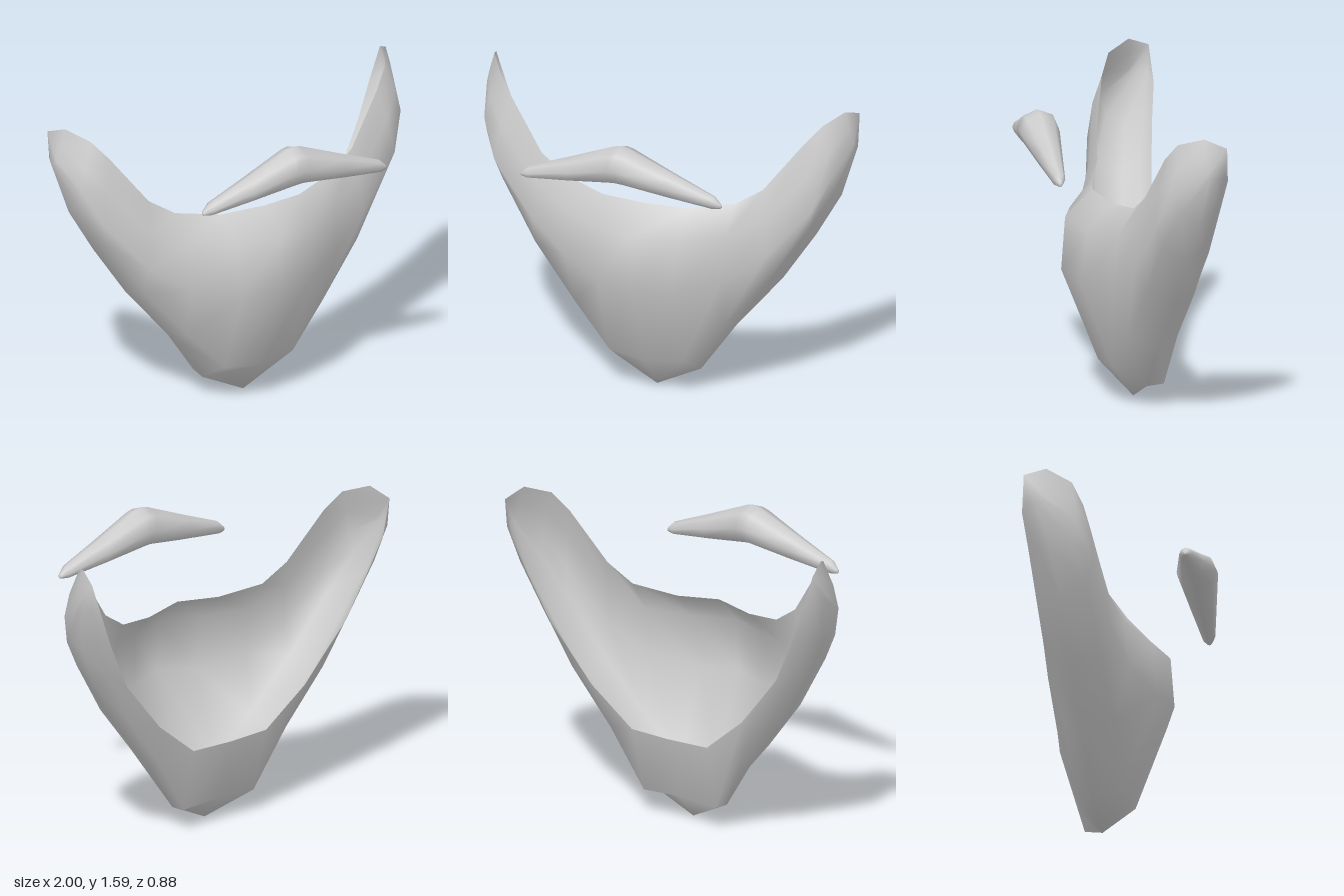
import * as THREE from 'three';
import { mergeVertices } from 'three/addons/utils/BufferGeometryUtils.js';

// Skin a list of cross-sections (each a list of [x, y, z]) with smooth normals.
function loft(sections, closed) {
  const n = sections[0].length;
  const index = [];
  for (let i = 0; i < sections.length - 1; i++) {
    for (let j = 0; j < (closed ? n : n - 1); j++) {
      const k = (j + 1) % n;
      const a = i * n + j, b = i * n + k, c = (i + 1) * n + j, d = (i + 1) * n + k;
      index.push(a, b, c, b, d, c);
    }
  }
  const geometry = new THREE.BufferGeometry();
  geometry.setAttribute('position', new THREE.Float32BufferAttribute(sections.flat(2), 3));
  geometry.setIndex(index);
  const merged = mergeVertices(geometry);
  merged.computeVertexNormals();
  return merged;
}

// Repeat half-sections (x >= 0, first one on the centre) on the other side.
function mirror(half) {
  const other = half.slice(1).reverse().map(s => s.map(([x, y, z]) => [-x, y, z]));
  return [...other, ...half];
}

function createBeard(material) {
  const tip = [0.985, 1.545, -0.43];
  // Rails running from the chin centre out to the sideburn tip
  const lip = [[0, 1.09, 0.06], [0.23, 1.075, 0.01], [0.46, 1.11, -0.06], [0.6, 1.2, -0.085],
    [0.79, 1.45, -0.15], [0.87, 1.545, -0.2], [0.95, 1.59, -0.32], tip];
  const upper = [[0, 0.95, 0.2], [0.22, 0.94, 0.13], [0.44, 0.96, 0.02], [0.62, 1.05, -0.05],
    [0.83, 1.3, -0.11], [0.92, 1.42, -0.18], [0.975, 1.5, -0.32], tip];
  const crest = [[0, 0.68, 0.22], [0.2, 0.66, 0.16], [0.43, 0.72, 0.04], [0.63, 0.85, -0.03],
    [0.86, 1.12, -0.09], [0.945, 1.3, -0.17], [0.995, 1.42, -0.33], tip];
  const lower = [[0, 0.2, 0.03], [0.2, 0.22, 0], [0.4, 0.43, -0.04], [0.63, 0.7, -0.08],
    [0.83, 1.0, -0.13], [0.94, 1.2, -0.2], [0.998, 1.4, -0.34], tip];
  const keel = [[0, 0, -0.15], [0.23, 0.11, -0.17], [0.41, 0.37, -0.2], [0.65, 0.66, -0.23],
    [0.82, 0.92, -0.26], [0.94, 1.14, -0.3], [1, 1.39, -0.37], tip];
  const under = [[0, 0.13, -0.26], [0.23, 0.12, -0.26], [0.42, 0.42, -0.29], [0.64, 0.7, -0.32],
    [0.81, 0.99, -0.35], [0.92, 1.22, -0.39], [0.98, 1.4, -0.42], tip];
  const back = [[0, 0.46, -0.36], [0.24, 0.46, -0.345], [0.48, 0.65, -0.365], [0.6, 0.79, -0.375],
    [0.72, 0.93, -0.39], [0.85, 1.18, -0.42], [0.93, 1.36, -0.445], tip];
  const rails = [lip, upper, crest, lower, keel, under, back];
  const half = lip.map((_, i) => rails.map(rail => rail[i]));
  const beard = new THREE.Mesh(loft(mirror(half), false), material);
  beard.name = 'beard';
  return beard;
}

function createMoustache(material) {
  // Stations along one half: x, centre height, radius
  const stations = [[0, 1.417, 0.103], [0.04, 1.411, 0.1], [0.27, 1.35, 0.067],
    [0.5, 1.293, 0.034], [0.54, 1.278, 0.012], [0.548, 1.274, 0]];
  const sides = 8;
  const half = stations.map(([x, y, r]) => Array.from({ length: sides }, (_, j) => {
    const a = j / sides * Math.PI * 2;
    return [x, y + r * Math.cos(a), 0.335 + r * Math.sin(a)];
  }));
  const moustache = new THREE.Mesh(loft(mirror(half), true), material);
  moustache.name = 'moustache';
  return moustache;
}

export function createModel() {
  const group = new THREE.Group();
  group.name = 'beardAndMoustache';
  const grey = new THREE.MeshStandardMaterial({ color: 0xcccccc });
  const thin = new THREE.MeshStandardMaterial({ color: 0xcccccc, side: THREE.DoubleSide });
  group.add(createBeard(thin), createMoustache(grey));
  return group;
}
